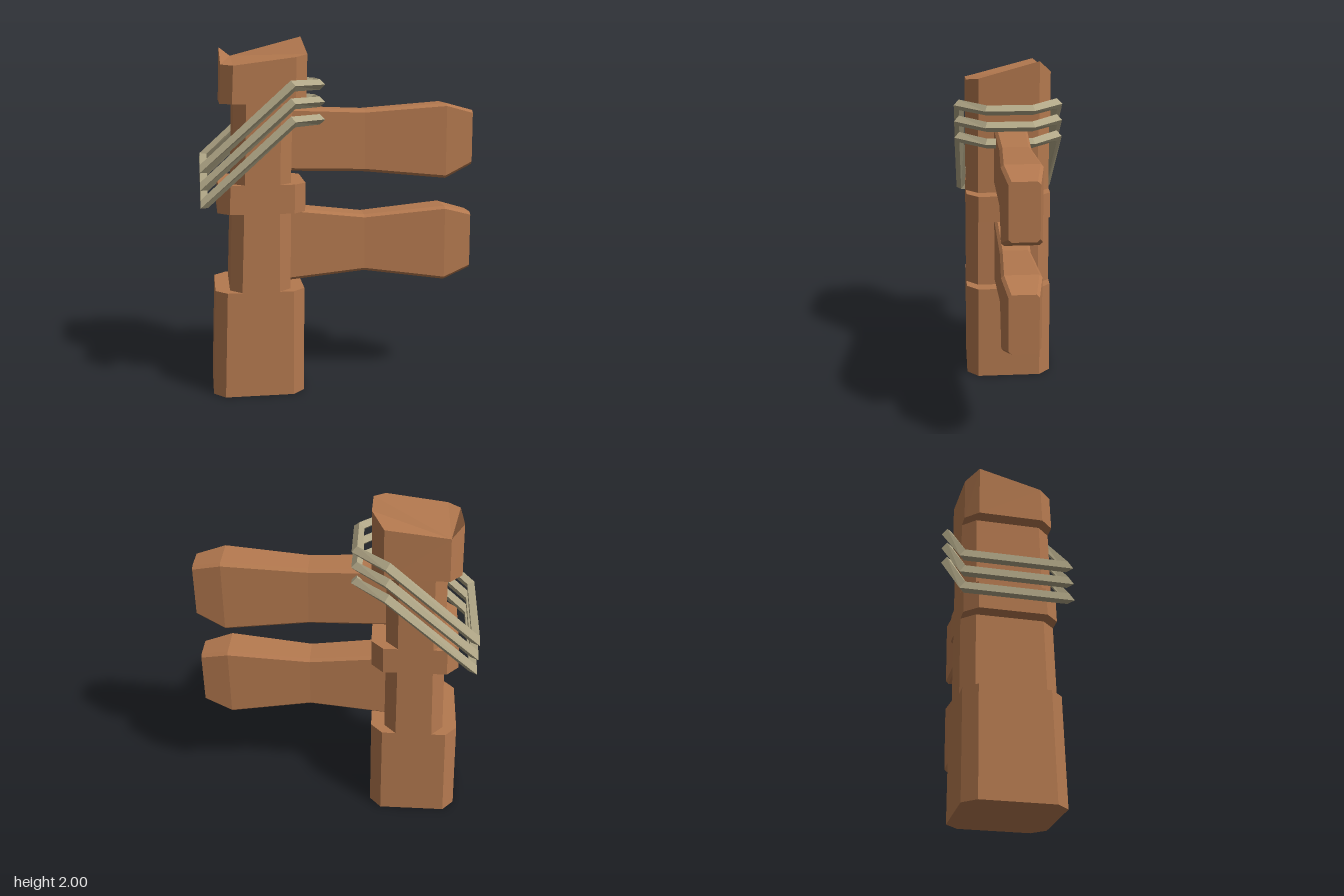
import * as THREE from 'three';

const wood = new THREE.MeshStandardMaterial({ color: 0xb4794f });
wood.name = 'wood';
const rope = new THREE.MeshStandardMaterial({ color: 0xb0a686 });
rope.name = 'rope';

// Faceted skin over rings of points; rings run counter-clockwise about the travel direction
function loft(rings, closed = false) {
  const out = [];
  const tri = (a, b, c) => out.push(...a, ...b, ...c);
  const n = rings[0].length;
  const spans = closed ? rings.length : rings.length - 1;
  for (let i = 0; i < spans; i++) {
    const r = rings[i], s = rings[(i + 1) % rings.length];
    for (let j = 0; j < n; j++) {
      const k = (j + 1) % n;
      tri(r[j], r[k], s[k]);
      tri(r[j], s[k], s[j]);
    }
  }
  if (!closed) {
    const first = rings[0], last = rings[rings.length - 1];
    for (let j = 1; j < n - 1; j++) {
      tri(first[0], first[j + 1], first[j]);
      tri(last[0], last[j], last[j + 1]);
    }
  }
  const g = new THREE.BufferGeometry();
  g.setAttribute('position', new THREE.Float32BufferAttribute(out, 3));
  g.computeVertexNormals();
  return g;
}

function part(name, geometry, material) {
  const mesh = new THREE.Mesh(geometry, material);
  mesh.name = name;
  return mesh;
}

// Chamfered post outline at height y, from back left round to back right
function postRing(y, xl, xr, heights) {
  const c = 0.066, z = 0.264 - 0.0105 * y, zi = z - 0.07;
  return [
    [xl + c, -z], [xl, -zi], [xl, zi], [xl + c, z],
    [xr - c, z], [xr, zi], [xr, -zi], [xr - c, -z],
  ].map(([px, pz], i) => [px, heights ? heights[i] : y, pz]);
}

// Bevelled plank outline at one x
function plankRing([x, top, bottom, half]) {
  const c = 0.016, zc = -0.012, f = zc + half, b = zc - half;
  return [
    [top, f - c], [top - c, f], [bottom + c, f], [bottom, f - c],
    [bottom, b + c], [bottom + c, b], [top - c, b], [top, b + c],
  ].map(([y, z]) => [x, y, z]);
}

// Diamond-section rope loop, sloping down behind the post
function ropeLoop(top) {
  const r = 0.029;
  const half = [
    { p: [-0.115, top, 0.13], out: [1, 0, 0.41], up: [0, 1, 0] },
    { p: [-0.28, top, 0.287], out: [0.41, 0, 1], up: [-0.38, 1, 0] },
    { p: [-0.763, top - 0.438, 0.276], out: [-0.74, -0.67, 1], up: [-0.67, 0.74, 0] },
  ];
  const flip = ([x, y, z]) => [x, y, -z];
  const mirrored = half.map(({ p, out, up }) => ({ p: flip(p), out: flip(out), up })).reverse();
  const rings = [...half, ...mirrored].map(({ p, out, up }) =>
    [[out, r], [up, r], [out, -r], [up, -r]].map(([d, s]) => p.map((v, i) => v + d[i] * s)));
  return loft(rings, true);
}

export function createModel() {
  const model = new THREE.Group();
  model.name = 'signpost';

  // Post: wide blocks with notches cut between them
  const post = new THREE.Group();
  post.name = 'post';
  const slanted = [1.89, 1.94, 1.85, 1.845, 1.89, 1.905, 2.0, 1.93];
  const sections = [
    ['postBase', [0, -0.735, -0.22], [0.6, -0.713, -0.214]],
    ['lowerNotch', [0.6, -0.632, -0.292], [1.04, -0.615, -0.286]],
    ['middleBand', [1.04, -0.693, -0.206], [1.2, -0.686, -0.203]],
    ['upperNotch', [1.2, -0.608, -0.284], [1.64, -0.595, -0.272]],
    ['postTop', [1.64, -0.67, -0.195], [1.9, -0.66, -0.188, slanted]],
  ];
  for (const [name, low, high] of sections) {
    post.add(part(name, loft([postRing(...low), postRing(...high)]), wood));
  }
  model.add(post);

  // Two planks fitted into the notches: x, top, bottom, half depth
  const planks = {
    lowerPlank: [
      [-0.34, 1.046, 0.615, 0.098], [0.15, 0.99, 0.66, 0.088],
      [0.62, 1.032, 0.595, 0.108], [0.78, 0.988, 0.656, 0.08],
    ],
    upperPlank: [
      [-0.34, 1.61, 1.255, 0.098], [0.15, 1.592, 1.24, 0.088],
      [0.62, 1.626, 1.195, 0.108], [0.78, 1.583, 1.27, 0.08],
    ],
  };
  for (const [name, rows] of Object.entries(planks)) {
    model.add(part(name, loft(rows.map(plankRing)), wood));
  }

  // Three rope loops
  const ropes = new THREE.Group();
  ropes.name = 'ropes';
  [1.738, 1.643, 1.546].forEach((top, i) => ropes.add(part(`ropeLoop${i + 1}`, ropeLoop(top), rope)));
  model.add(ropes);

  return model;
}
